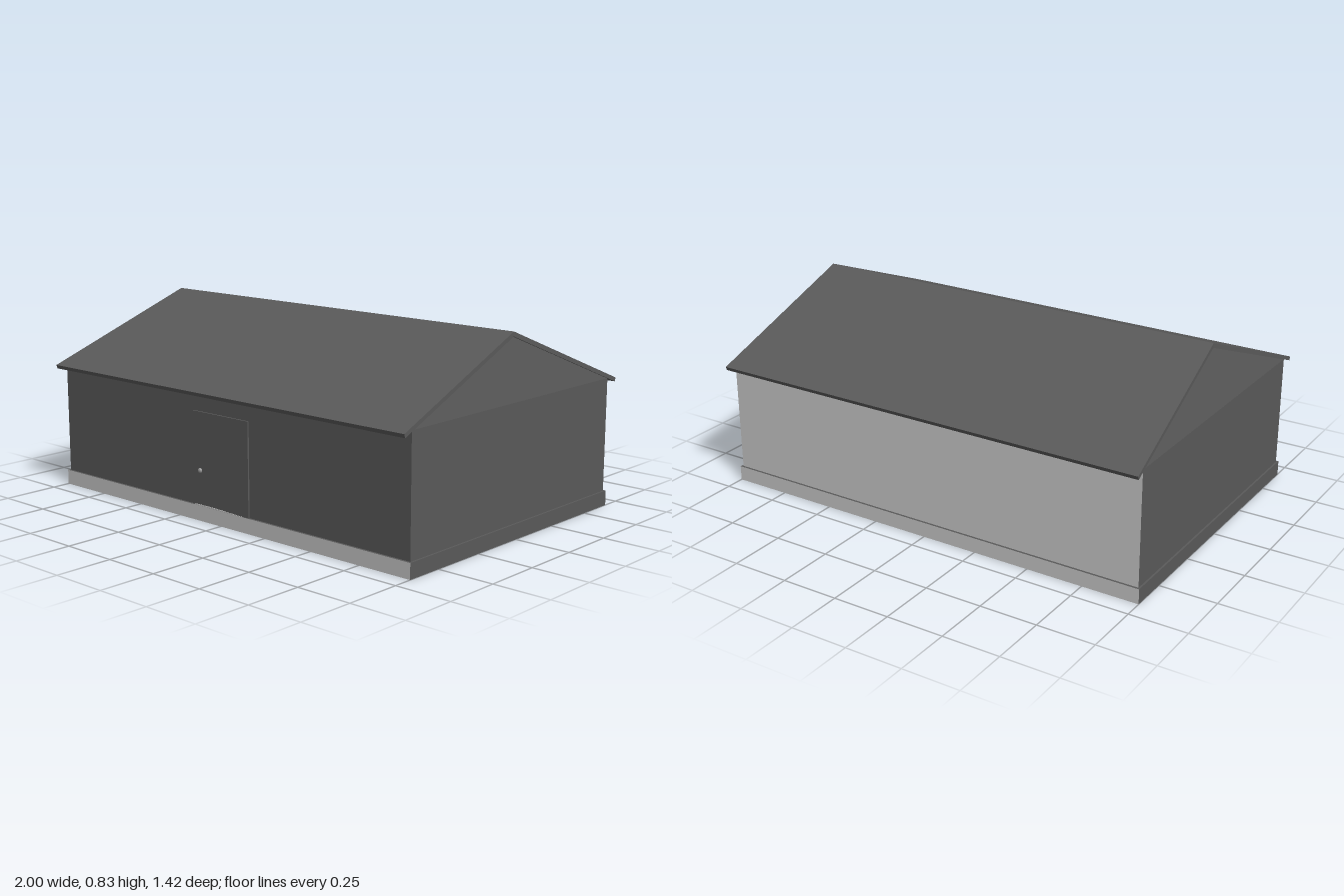
import * as THREE from 'three';

function flat(name, color) {
  const material = new THREE.MeshStandardMaterial({ color });
  material.name = name;
  return material;
}
const dark = flat('darkGrey', 0x5a5a5a);
const light = flat('lightGrey', 0xcacaca);
const metal = flat('knobGrey', 0x909090);

const HALF_DEPTH = 0.657; // wall line
const EAVE = 0.71;        // roof overhang line
const RIDGE = 0.835;

function add(group, name, geometry, material, x = 0, y = 0, z = 0) {
  const mesh = new THREE.Mesh(geometry, material);
  mesh.name = name;
  mesh.position.set(x, y, z);
  group.add(mesh);
  return mesh;
}

// Extrudes a (z, y) outline along x; the ends lean inward towards the ridge
function leaningPrism(points, halfLength, halfWidth) {
  const shape = new THREE.Shape(points.map(([z, y]) => new THREE.Vector2(z, y)));
  const geo = new THREE.ExtrudeGeometry(shape, { depth: 2, bevelEnabled: false });
  geo.translate(0, 0, -1).rotateY(Math.PI / 2);
  const pos = geo.attributes.position;
  for (let i = 0; i < pos.count; i++) {
    const t = 1 - Math.abs(pos.getZ(i)) / halfWidth;
    pos.setX(i, pos.getX(i) < 0 ? -halfLength + 0.05 * t : halfLength - 0.035 * t);
  }
  geo.computeVertexNormals();
  return geo;
}

export function createModel() {
  const house = new THREE.Group();
  house.name = 'house';

  // Box faces in order: +x, -x, top, bottom, front, back
  add(house, 'foundation', new THREE.BoxGeometry(2, 0.065, 1.334),
    [dark, dark, dark, light, light, light], 0, 0.0325, 0);
  add(house, 'walls', new THREE.BoxGeometry(1.984, 0.494, HALF_DEPTH * 2),
    [dark, dark, dark, dark, dark, light], 0, 0.312, 0);

  // Leaning gable ends under the roof
  add(house, 'gables', leaningPrism(
    [[-HALF_DEPTH, 0.558], [HALF_DEPTH, 0.558], [0, 0.815]], 0.992, HALF_DEPTH), dark);

  // Two thin slopes with square-cut eaves
  add(house, 'roof', leaningPrism([
    [-EAVE, 0.555], [-EAVE + 0.006, 0.539], [0, 0.815],
    [EAVE - 0.006, 0.539], [EAVE, 0.555], [0, RIDGE]], 1, EAVE), dark);

  // Shallow sill, tapering to the right, at the foot of the door
  const sill = new THREE.Shape([
    [-0.165, 0.064], [0.16, 0.064], [-0.03, 0.07], [-0.14, 0.07],
  ].map(([x, y]) => new THREE.Vector2(x, y)));
  add(house, 'sill', new THREE.ExtrudeGeometry(sill, { depth: 0.009, bevelEnabled: false }),
    light, 0, 0, 0.657);

  // Door panel standing slightly proud of the wall
  const door = new THREE.Group();
  door.name = 'door';
  door.position.set(0, 0.065, 0.66);
  add(door, 'doorPanel', new THREE.BoxGeometry(0.32, 0.4, 0.008), dark, 0, 0.2, 0);

  // Round knob on a short stem
  const stem = new THREE.CylinderGeometry(0.005, 0.005, 0.01, 12).rotateX(Math.PI / 2);
  add(door, 'knobStem', stem, metal, -0.113, 0.153, 0.007);
  const knob = add(door, 'knob', new THREE.SphereGeometry(0.011, 16, 10), metal, -0.113, 0.153, 0.012);
  knob.scale.z = 0.7;
  house.add(door);

  return house;
}
